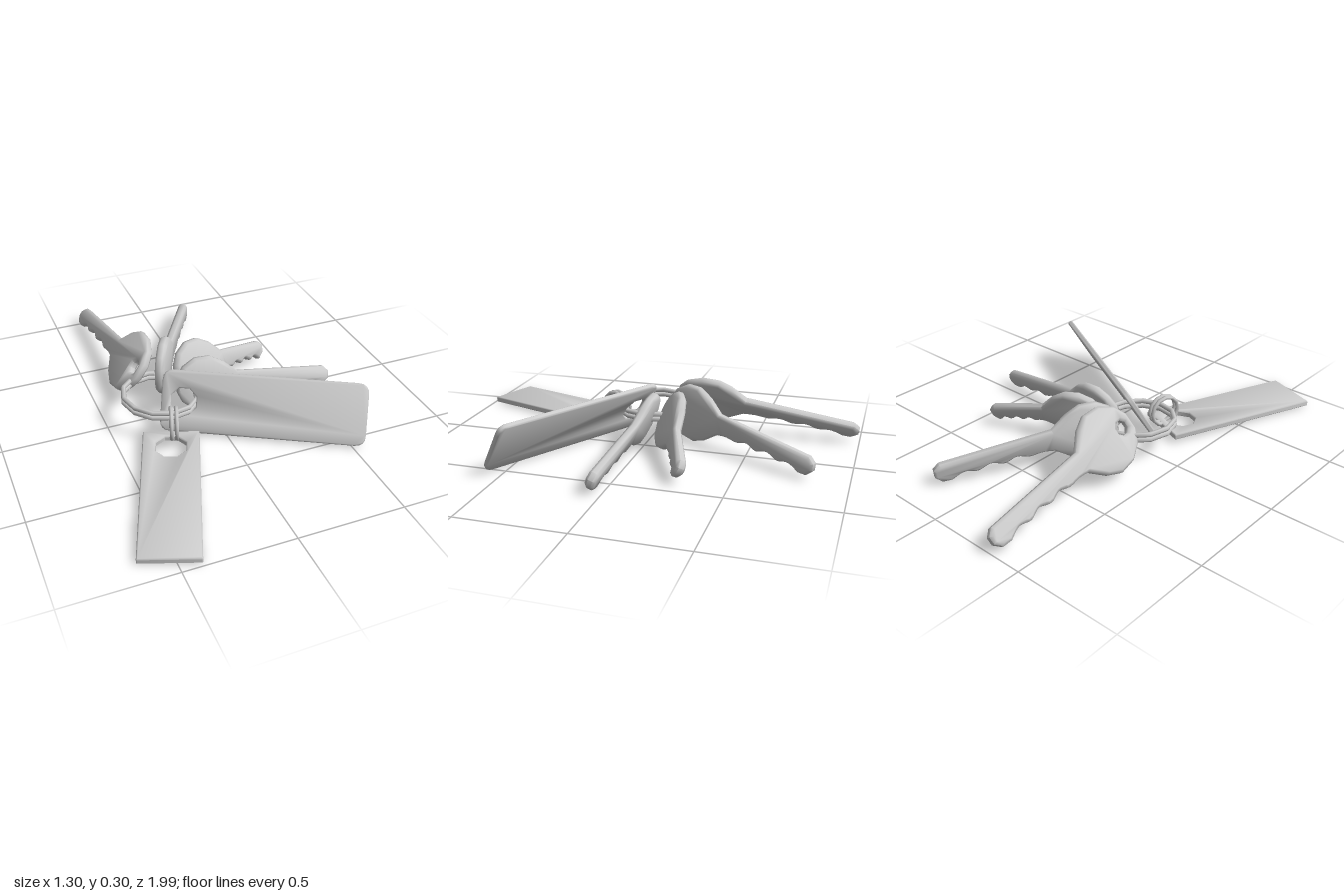
import * as THREE from 'three';
import { toCreasedNormals } from 'three/addons/utils/BufferGeometryUtils.js';

const material = new THREE.MeshStandardMaterial({ color: 0xcccccc, side: THREE.DoubleSide });

// Plate cut from a shape, centred on its thickness, with soft bevelled edges
function plate(shape, thickness, bevel) {
  const geo = new THREE.ExtrudeGeometry(shape, {
    depth: thickness - 2 * bevel, bevelThickness: bevel, bevelSize: bevel,
    bevelOffset: -bevel, bevelSegments: 1, curveSegments: 4,
  });
  geo.translate(0, 0, bevel - thickness / 2);
  return toCreasedNormals(geo, 0.95);
}

function punch(shape, x, y, r) {
  const hole = new THREE.Path();
  for (let i = 0; i <= 8; i++) {
    const a = -(i + 0.5) * Math.PI / 4;
    hole[i ? 'lineTo' : 'moveTo'](x + r * Math.cos(a), y + r * Math.sin(a));
  }
  shape.holes.push(hole);
}

// Put local x along from -> to, and local y as near to "up" as possible
function place(name, geo, from, to, up) {
  const origin = new THREE.Vector3(...from);
  const x = new THREE.Vector3(...to).sub(origin).normalize();
  const z = x.clone().cross(new THREE.Vector3(...up)).normalize();
  const y = z.clone().cross(x);
  const mesh = new THREE.Mesh(geo, material);
  mesh.name = name;
  mesh.quaternion.setFromRotationMatrix(new THREE.Matrix4().makeBasis(x, y, z));
  mesh.position.copy(origin);
  return mesh;
}

// Rounded head at the origin, blade along +x, teeth on the lower edge
function keyGeometry(length, headBack, headHalf) {
  const s = new THREE.Shape();
  const neck = 0.17, w = 0.052, bladeLength = length - neck;
  s.moveTo(neck, w);
  for (const a of [50, 80, 110, 140, 165, 195, 220, 250, 280, 310]) {
    const t = a * Math.PI / 180;
    s.lineTo(Math.cos(t) * (a > 90 && a < 270 ? headBack : 0.15), Math.sin(t) * headHalf);
  }
  s.lineTo(neck, -w);
  const teeth = [[0.1, 0.042], [0.22, 0.044], [0.32, 0.026], [0.43, 0.042], [0.54, 0.022],
    [0.65, 0.04], [0.76, 0.026], [0.87, 0.048]];
  s.splineThru(teeth.map(([t, d]) => new THREE.Vector2(neck + t * bladeLength, -d)));
  s.lineTo(length - 0.03, -0.045);
  s.lineTo(length, -0.015);
  s.lineTo(length, 0.02);
  s.lineTo(length - 0.03, 0.045);
  s.closePath();
  punch(s, -headBack * 0.6, 0, 0.035);
  return plate(s, 0.046, 0.012);
}

// Long tag with a hole near its first end
function tagGeometry(length, width, corner, thickness, holeX, holeR) {
  const s = new THREE.Shape();
  const h = width / 2, r = corner;
  s.moveTo(r, -h);
  s.lineTo(length - r, -h);
  s.quadraticCurveTo(length, -h, length, -h + r);
  s.lineTo(length, h - r);
  s.quadraticCurveTo(length, h, length - r, h);
  s.lineTo(r, h);
  s.quadraticCurveTo(0, h, 0, h - r);
  s.lineTo(0, -h + r);
  s.quadraticCurveTo(0, -h, r, -h);
  punch(s, holeX, 0, holeR);
  return plate(s, thickness, 0.006);
}

// Two loops side by side, as in a split ring
function splitRing(name, radius, tube, gap, sides) {
  const ring = new THREE.Group();
  ring.name = name;
  for (const side of [-1, 1]) {
    const loop = new THREE.Mesh(new THREE.TorusGeometry(radius, tube, 6, sides), material);
    loop.name = name + 'Loop';
    loop.position.z = side * gap / 2;
    ring.add(loop);
  }
  return ring;
}

export function createModel() {
  const model = new THREE.Group();
  model.name = 'keyRing';

  // Main ring, lying almost flat
  const mainRing = splitRing('mainRing', 0.178, 0.012, 0.025, 12);
  mainRing.rotation.set(-Math.PI / 2, 0.06, 0);
  mainRing.position.set(-0.24, 0.138, 0.02);
  model.add(mainRing);

  // Small upright ring that links the flat tag
  const linkRing = splitRing('linkRing', 0.072, 0.01, 0.024, 12);
  linkRing.rotation.y = -1.88;
  linkRing.position.set(-0.245, 0.11, 0.22);
  model.add(linkRing);

  // Tags: one lying flat, one leaning on its long edge
  model.add(place('flatTag', tagGeometry(0.8, 0.262, 0.004, 0.03, 0.11, 0.075),
    [-0.25, 0.036, 0.195], [-0.53, 0.02, 0.945], [0.94, 0, 0.35]));
  model.add(place('leaningTag', tagGeometry(0.955, 0.288, 0.05, 0.026, 0.105, 0.065),
    [-0.245, 0.136, 0.055], [0.585, 0.136, 0.525], [0.08, 0.25, -0.13]));

  // Keys fanned out: head centre, tip, width direction, head back, head half width
  const keys = [
    [[-0.3, 0.175, -0.27], [-0.345, 0.062, -0.995], [0.62, 0.78, 0], 0.18, 0.155],
    [[-0.14, 0.145, -0.21], [0.2, 0.062, -0.84], [0, 1, 0], 0.15, 0.142],
    [[-0.0, 0.145, -0.13], [0.43, 0.065, -0.29], [0, 0.9, -0.42], 0.14, 0.145],
    [[-0.01, 0.135, 0.0], [0.645, 0.055, 0.045], [0, 0.94, -0.34], 0.14, 0.135],
  ];
  for (const [head, tip, up, back, half] of keys) {
    const length = new THREE.Vector3(...head).distanceTo(new THREE.Vector3(...tip));
    model.add(place('key', keyGeometry(length, back, half), head, tip, up));
  }
  return model;
}
